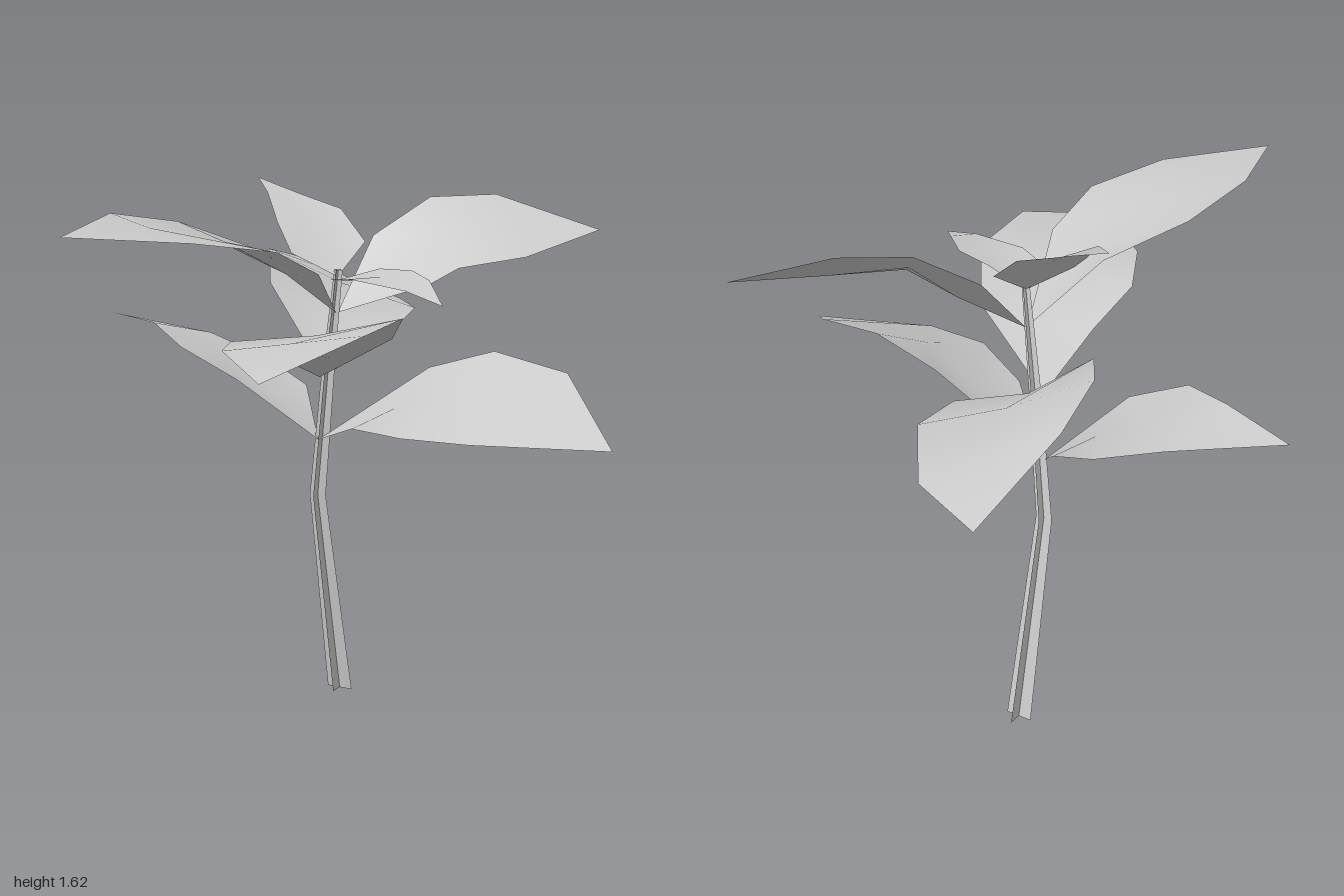
import * as THREE from 'three';

const material = new THREE.MeshStandardMaterial({ color: 0xcccccc, side: THREE.DoubleSide });
const vec = (p) => new THREE.Vector3(...p);

function makeMesh(name, points, index) {
  const geometry = new THREE.BufferGeometry().setFromPoints(points);
  geometry.setIndex(index);
  geometry.computeVertexNormals();
  const mesh = new THREE.Mesh(geometry, material);
  mesh.name = name;
  return mesh;
}

// Leaf blade: three cross-sections between base and tip, with a midrib
// that is folded into a V near the stem and flattens out towards the tip.
function makeLeaf(name, base, left, right, tip) {
  const fold = [0.1, 0.03, 0];
  const start = vec(base), end = vec(tip);
  const along = end.clone().sub(start).normalize();
  const points = [start];
  for (let i = 0; i < 3; i++) {
    const l = vec(left[i]), r = vec(right[i]);
    const across = r.clone().sub(l);
    const up = across.clone().cross(along).normalize();
    const mid = l.clone().lerp(r, 0.5).addScaledVector(up, -fold[i] * across.length());
    points.push(l, mid, r);
  }
  points.push(end);
  const index = [0, 2, 1, 0, 3, 2];
  for (let i = 0; i < 2; i++) {
    for (let j = 0; j < 2; j++) {
      const a = 1 + i * 3 + j;
      index.push(a, a + 1, a + 4, a, a + 4, a + 3);
    }
  }
  index.push(7, 8, 10, 8, 9, 10);
  return makeMesh(name, points, index);
}

// Stem: two crossed, tapering strips that follow a bent path
function makeStem() {
  const stem = new THREE.Group();
  stem.name = 'stem';
  const path = [[-0.105, 0, -0.19], [-0.125, 0.66, -0.075], [-0.07, 1.05, -0.035], [-0.02, 1.37, -0.005]];
  const halfWidth = [0.043, 0.028, 0.022, 0.014];
  for (const [name, side] of [['stemStripAcross', [1, 0, 0.06]], ['stemStripDeep', [-0.06, 0, 1]]]) {
    const points = [], index = [];
    path.forEach((p, i) => {
      points.push(vec(p).addScaledVector(vec(side), -halfWidth[i]), vec(p).addScaledVector(vec(side), halfWidth[i]));
      if (i > 0) {
        const a = i * 2 - 2;
        index.push(a, a + 1, a + 3, a, a + 3, a + 2);
      }
    });
    stem.add(makeMesh(name, points, index));
  }
  return stem;
}

export function createModel() {
  const plant = new THREE.Group();
  plant.name = 'plant';
  plant.add(makeStem());

  // Lowest pair of leaves
  plant.add(makeLeaf('lowerLeftLeaf', [-0.11, 0.84, -0.05],
    [[0.23, 1.08, -0.11], [0.44, 1.145, -0.1], [0.69, 1.11, -0.03]],
    [[0.12, 0.94, 0.2], [0.34, 0.96, 0.35], [0.55, 0.965, 0.37]],
    [0.92, 0.96, 0.26]));
  plant.add(makeLeaf('lowerRightLeaf', [-0.11, 0.84, -0.05],
    [[-0.31, 1.035, 0.1], [-0.5, 1.12, 0.1], [-0.68, 1.165, -0.04]],
    [[-0.24, 0.97, -0.23], [-0.4, 1.03, -0.29], [-0.61, 1.105, -0.28]],
    [-0.93, 1.165, -0.18]));

  // Middle pair
  plant.add(makeLeaf('middleBackLeaf', [-0.08, 1.04, -0.04],
    [[-0.35, 1.29, -0.2], [-0.49, 1.365, -0.46], [-0.52, 1.32, -0.69]],
    [[0, 1.145, -0.37], [-0.03, 1.18, -0.6], [-0.2, 1.17, -0.86]],
    [-0.45, 1.17, -1]));
  plant.add(makeLeaf('middleFrontLeaf', [-0.09, 1.04, -0.02],
    [[0.22, 1.2, 0.14], [0.345, 1.295, 0.35], [0.38, 1.295, 0.67]],
    [[-0.11, 1.15, 0.25], [-0.13, 1.215, 0.46], [-0.03, 1.23, 0.69]],
    [0.24, 1.21, 0.99]));

  // Upper pair
  plant.add(makeLeaf('upperFrontLeaf', [-0.03, 1.24, -0.01],
    [[0.085, 1.4, 0.34], [0.06, 1.48, 0.54], [-0.07, 1.52, 0.77]],
    [[-0.2, 1.43, 0.13], [-0.38, 1.525, 0.31], [-0.43, 1.57, 0.59]],
    [-0.33, 1.545, 0.99]));
  plant.add(makeLeaf('upperBackLeaf', [-0.03, 1.24, -0.02],
    [[-0.015, 1.45, -0.24], [0.11, 1.56, -0.39], [0.28, 1.565, -0.51]],
    [[0.24, 1.33, -0.07], [0.32, 1.38, -0.11], [0.46, 1.4, -0.3]],
    [0.59, 1.46, -0.6]));

  // Small young leaves at the top
  plant.add(makeLeaf('youngRightLeaf', [-0.02, 1.35, 0],
    [[-0.14, 1.42, 0.065], [-0.23, 1.5, -0.02], [-0.31, 1.58, -0.11]],
    [[0, 1.44, -0.15], [-0.11, 1.53, -0.21], [-0.25, 1.57, -0.21]],
    [-0.4, 1.615, -0.22]));
  plant.add(makeLeaf('youngLeftLeaf', [-0.02, 1.34, 0.01],
    [[0.13, 1.385, 0.03], [0.25, 1.39, 0.07], [0.35, 1.38, 0.18]],
    [[0.01, 1.36, 0.16], [0.12, 1.375, 0.22], [0.32, 1.36, 0.28]],
    [0.45, 1.33, 0.32]));

  return plant;
}
